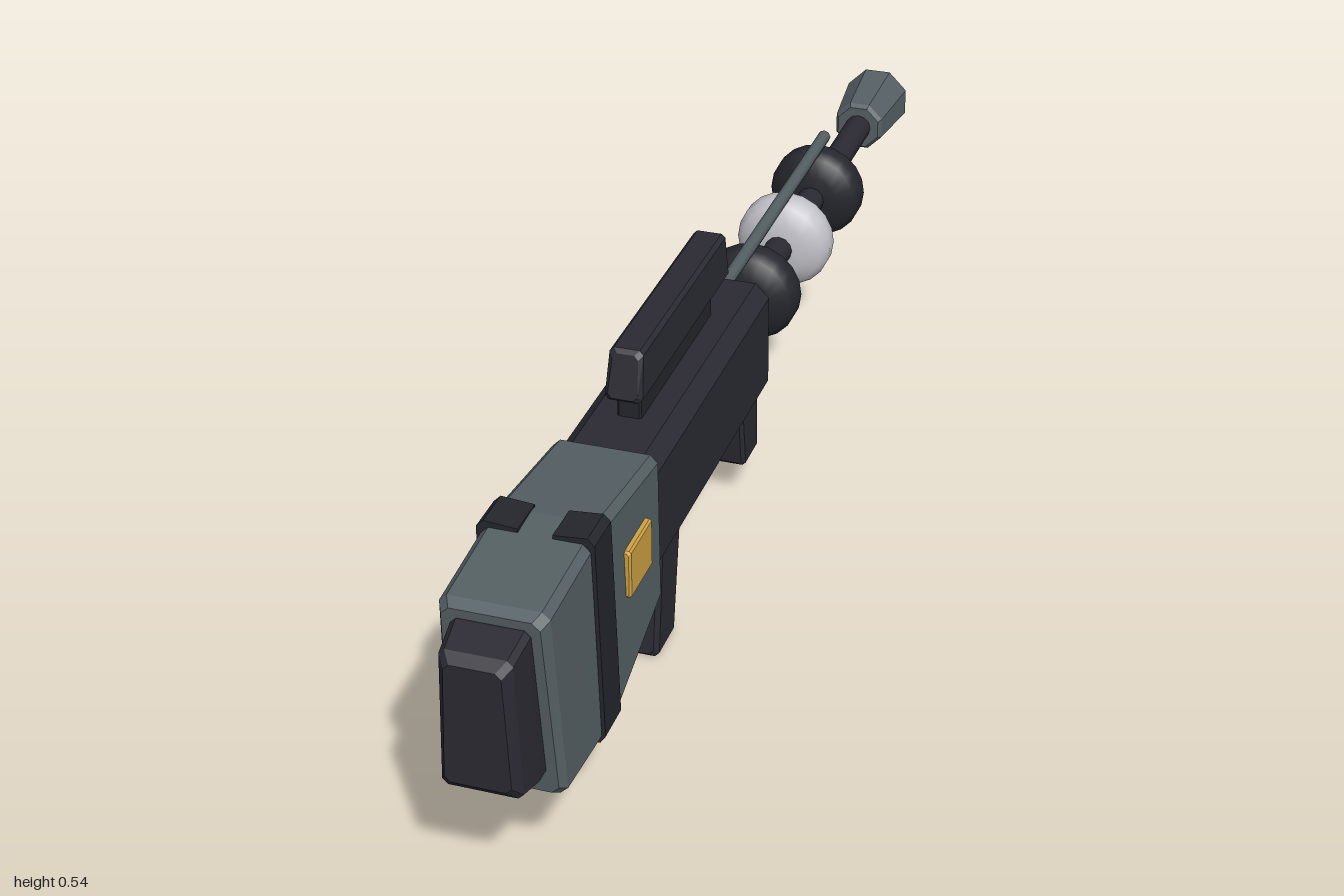
import * as THREE from 'three';

// Loft of chamfered, slanted cross-sections running from +z to -z.
// Section: [zBottom, zTop, yBottom, yTop, halfWidthBottom, halfWidthTop]
function loft(sections, chamfer, bevel = 0) {
  const shrink = (s, e) => [s[0], s[1], s[2] + e, s[3] - e, s[4] - e, s[5] - e];
  const shift = (s, d) => [s[0] + d, s[1] + d, ...s.slice(2)];
  let list = sections;
  if (bevel) {
    const first = sections[0], last = sections[sections.length - 1];
    list = [shrink(first, bevel), shift(first, -bevel), ...sections.slice(1, -1),
      shift(last, bevel), shrink(last, bevel)];
  }
  const rings = list.map(([zb, zt, yb, yt, wb, wt]) => {
    const c = chamfer;
    const half = [[wb - c, yb], [wb, yb + c], [wt, yt - c], [wt - c, yt]];
    const ring = [...half, ...half.map(([x, y]) => [-x, y]).reverse()];
    return ring.map(([x, y]) => [x, y, zb + (zt - zb) * (y - yb) / (yt - yb)]);
  });
  const pos = [], n = 8;
  const tri = (a, b, c) => pos.push(...a, ...b, ...c);
  for (let k = 0; k < rings.length - 1; k++) {
    for (let i = 0; i < n; i++) {
      const j = (i + 1) % n, a = rings[k], b = rings[k + 1];
      tri(a[i], b[i], b[j]);
      tri(a[i], b[j], a[j]);
    }
  }
  const end = rings[rings.length - 1];
  for (let i = 1; i < n - 1; i++) {
    tri(rings[0][0], rings[0][i], rings[0][i + 1]);
    tri(end[0], end[i + 1], end[i]);
  }
  const g = new THREE.BufferGeometry();
  g.setAttribute('position', new THREE.Float32BufferAttribute(pos, 3));
  g.computeVertexNormals();
  return g;
}

export function createModel() {
  const group = new THREE.Group();
  const material = (name, color) => {
    const m = new THREE.MeshStandardMaterial({ color });
    m.name = name;
    return m;
  };
  const dark = material('dark metal', 0x2b2a33);
  const black = material('black rubber', 0x25262c);
  const grey = material('slate grey', 0x556064);
  const gold = material('gold', 0xcfa244);
  const pale = material('pale silver', 0xc3c3ca);

  const add = (name, geometry, mat, x = 0, y = 0, z = 0) => {
    const m = new THREE.Mesh(geometry, mat);
    m.name = name;
    m.position.set(x, y, z);
    group.add(m);
    return m;
  };
  const box = (w, h, d) => loft([
    [d / 2, d / 2, -h / 2, h / 2, w / 2, w / 2],
    [-d / 2, -d / 2, -h / 2, h / 2, w / 2, w / 2]], 0.003, 0.003);
  const AXIS = 0.325;

  // Stock and butt pad
  add('stock', loft([
    [0.912, 0.936, 0.155, 0.438, 0.075, 0.067],
    [0.900, 0.920, 0.148, 0.446, 0.083, 0.075],
    [0.730, 0.730, 0.138, 0.460, 0.085, 0.077],
    [0.525, 0.512, 0.205, 0.435, 0.083, 0.077],
    [0.515, 0.502, 0.213, 0.428, 0.077, 0.070]], 0.011), grey);
  add('buttPad', loft([
    [1.0, 1.0, 0.215, 0.40, 0.046, 0.039],
    [0.985, 0.985, 0.198, 0.412, 0.056, 0.050],
    [0.938, 0.938, 0.185, 0.424, 0.059, 0.054],
    [0.89, 0.89, 0.185, 0.424, 0.059, 0.054]], 0.008), dark);

  // Side brackets and gold plates, mirrored
  const clamp = [[0.024, 0.462], [0.072, 0.466], [0.082, 0.456], [0.09, 0.152], [0.082, 0.14],
    [0.034, 0.134], [0.034, 0.152], [0.07, 0.17], [0.062, 0.44], [0.024, 0.448]];
  for (const s of [-1, 1]) {
    const side = s > 0 ? 'left' : 'right';
    const shape = new THREE.Shape(clamp.map(([x, y]) => new THREE.Vector2(s * x, y)));
    add(side + 'Bracket', new THREE.ExtrudeGeometry(shape,
      { depth: 0.062, bevelEnabled: false }), black, 0, 0, 0.715);
    add(side + 'Plate', box(0.02, 0.075, 0.09), gold, s * 0.078, 0.335, 0.615);
  }

  // Receiver
  add('body', loft([
    [0.53, 0.53, 0.235, 0.426, 0.075, 0.075],
    [-0.035, -0.035, 0.235, 0.426, 0.075, 0.075]], 0.022, 0.01), dark);

  // Grips
  add('rearGrip', loft([
    [0.396, 0.364, 0, 0.25, 0.032, 0.032],
    [0.314, 0.268, 0, 0.25, 0.032, 0.032]], 0.007, 0.007), dark);
  add('foreGrip', loft([
    [-0.062, -0.038, 0.064, 0.224, 0.026, 0.026],
    [-0.138, -0.13, 0.064, 0.224, 0.026, 0.026]], 0.006, 0.006), dark);

  // Sight
  add('sightBase', box(0.036, 0.045, 0.325), black, 0, 0.443, 0.25);
  add('sight', loft([
    [0.44, 0.422, 0.464, 0.539, 0.028, 0.025],
    [0.028, 0.036, 0.464, 0.539, 0.028, 0.025]], 0.006, 0.006), dark);
  add('sightLens', box(0.034, 0.042, 0.02), gold, 0, 0.502, 0.03);

  // Barrel, rails and rings
  const rod = (r1, r2, length, sides) => new THREE.CylinderGeometry(r1, r2, length, sides)
    .rotateX(Math.PI / 2);
  add('barrel', rod(0.023, 0.023, 0.84, 12), dark, 0, AXIS, -0.43);
  add('upperRail', rod(0.011, 0.011, 0.58, 8), grey, 0, 0.41, -0.317);
  add('lowerRail', rod(0.011, 0.011, 0.58, 8), grey, 0, 0.235, -0.317);
  const ringProfile = [[0, -0.043], [0.042, -0.043], [0.07, -0.026], [0.08, -0.012],
    [0.08, 0.012], [0.07, 0.026], [0.042, 0.043], [0, 0.043]]
    .map(([r, y]) => new THREE.Vector2(r, y));
  [[-0.18, black], [-0.375, pale], [-0.57, black]].forEach(([z, mat], i) => {
    add('coilRing' + (i + 1), new THREE.LatheGeometry(ringProfile, 20).rotateX(Math.PI / 2),
      mat, 0, AXIS, z);
  });

  // Flared muzzle with gold tip
  const muzzleProfile = [[0, -0.988], [0.052, -0.988], [0.059, -0.976], [0.046, -0.848],
    [0.040, -0.84], [0, -0.84]].map(([r, z]) => new THREE.Vector2(r, z));
  const muzzle = new THREE.LatheGeometry(muzzleProfile, 8, Math.PI / 8)
    .rotateX(Math.PI / 2).toNonIndexed();
  muzzle.computeVertexNormals();
  add('muzzle', muzzle, grey, 0, AXIS, 0);
  add('muzzleTip', rod(0.022, 0.022, 0.03, 8), gold, 0, AXIS, -0.985);

  return group;
}
